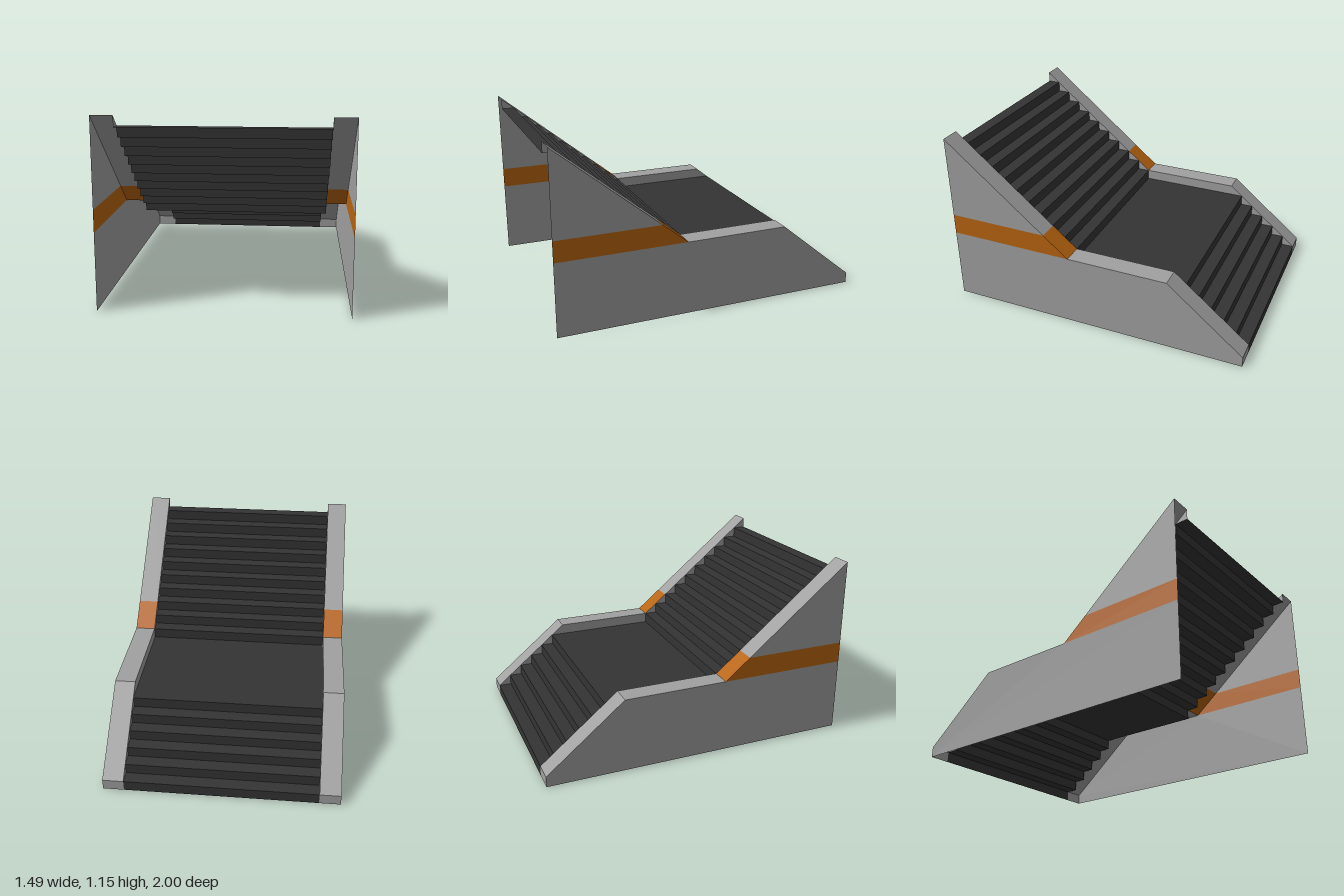
import * as THREE from 'three';
import { mergeGeometries } from 'three/addons/utils/BufferGeometryUtils.js';

const RUN = 1 / 12, RISE = 1.155 / 17;           // one step
const INNER = 0.61, OUTER = 0.743;               // rail edges in x
const LAND_Z = 2 / 12;                           // foot of the upper flight
const LAND_Y = 7 * RISE, TOP_Y = 17 * RISE;      // rail heights
const BAND_Y = 0.61;                             // top of the painted band
const BAND_Z = LAND_Z + (BAND_Y - LAND_Y) * RUN / RISE;

// Open sheet swept across x along a path of [z, y] points, facing up and back
function sheet(path, x0, x1) {
  const pos = [];
  for (let i = 0; i + 1 < path.length; i++) {
    const [za, ya] = path[i], [zb, yb] = path[i + 1];
    pos.push(x0, ya, za, x0, yb, zb, x1, yb, zb, x0, ya, za, x1, yb, zb, x1, ya, za);
  }
  const g = new THREE.BufferGeometry();
  g.setAttribute('position', new THREE.Float32BufferAttribute(pos, 3));
  g.computeVertexNormals();
  return g;
}

// Flat panel from [z, y] points at a given x, facing +x or -x
function panel(points, x, facing) {
  const shape = new THREE.Shape(points.map(([z, y]) => new THREE.Vector2(-facing * z, y)));
  return new THREE.ShapeGeometry(shape).rotateY(facing * Math.PI / 2).translate(x, 0, 0);
}

export function createModel() {
  const group = new THREE.Group();
  const mat = (name, color) =>
    new THREE.MeshStandardMaterial({ name, color, side: THREE.DoubleSide });
  const concrete = mat('concrete grey', 0xa0a0a0);
  const dark = mat('dark tread', 0x343434);
  const orange = mat('orange paint', 0xb8640f);
  const add = (name, geometry, material, parent = group) => {
    const mesh = new THREE.Mesh(geometry, material);
    mesh.name = name;
    parent.add(mesh);
  };

  // Step noses: six in the lower flight, ten in the upper
  const noses = [];
  for (let i = 0; i < 16; i++) {
    noses.push([i < 6 ? -1 + i * RUN : LAND_Z + (i - 6) * RUN, (i + 1) * RISE]);
  }

  // Stairs and landing as one folded sheet
  const stairPath = [];
  noses.forEach(([z, y]) => stairPath.push([z, y - RISE], [z, y]));
  stairPath.push([1, 16 * RISE]);
  add('stairs', sheet(stairPath, -INNER, INNER), dark);

  // Side rails: hollow, open below and at the high end
  for (const s of [1, -1]) {
    const rail = new THREE.Group();
    rail.name = s > 0 ? 'leftRail' : 'rightRail';
    group.add(rail);
    const x0 = s > 0 ? INNER : -OUTER, x1 = s > 0 ? OUTER : -INNER;

    // Outer wall, split around the painted band
    add('outerWallLower', panel([[-1, 0], [1, 0], [1, LAND_Y], [LAND_Z, LAND_Y],
      [-0.5, LAND_Y], [-1, RISE]], s * OUTER, s), concrete, rail);
    add('outerBand', panel([[LAND_Z, LAND_Y], [1, LAND_Y], [1, BAND_Y], [BAND_Z, BAND_Y]],
      s * OUTER, s), orange, rail);
    add('outerWallUpper', panel([[BAND_Z, BAND_Y], [1, BAND_Y], [1, TOP_Y]],
      s * OUTER, s), concrete, rail);

    // Coping along the top
    add('copingLower', sheet([[-1, 0], [-1, RISE], [-0.5, LAND_Y], [LAND_Z, LAND_Y]], x0, x1),
      concrete, rail);
    add('copingBand', sheet([[LAND_Z, LAND_Y], [BAND_Z, BAND_Y]], x0, x1), orange, rail);
    add('copingUpper', sheet([[BAND_Z, BAND_Y], [1, TOP_Y]], x0, x1), concrete, rail);

    // Inner wall: the pieces that show between the steps and the coping
    const pieces = noses.map(([z, y], i) => {
      const [zn, yn] = noses[i + 1] || [1, TOP_Y];
      const points = [[z, y], [zn, y], [zn, yn]];
      if (i === 5) points.push([-0.5, LAND_Y]);
      return panel(points, s * INNER, -s);
    });
    add('innerWall', mergeGeometries(pieces), concrete, rail);
  }
  return group;
}
